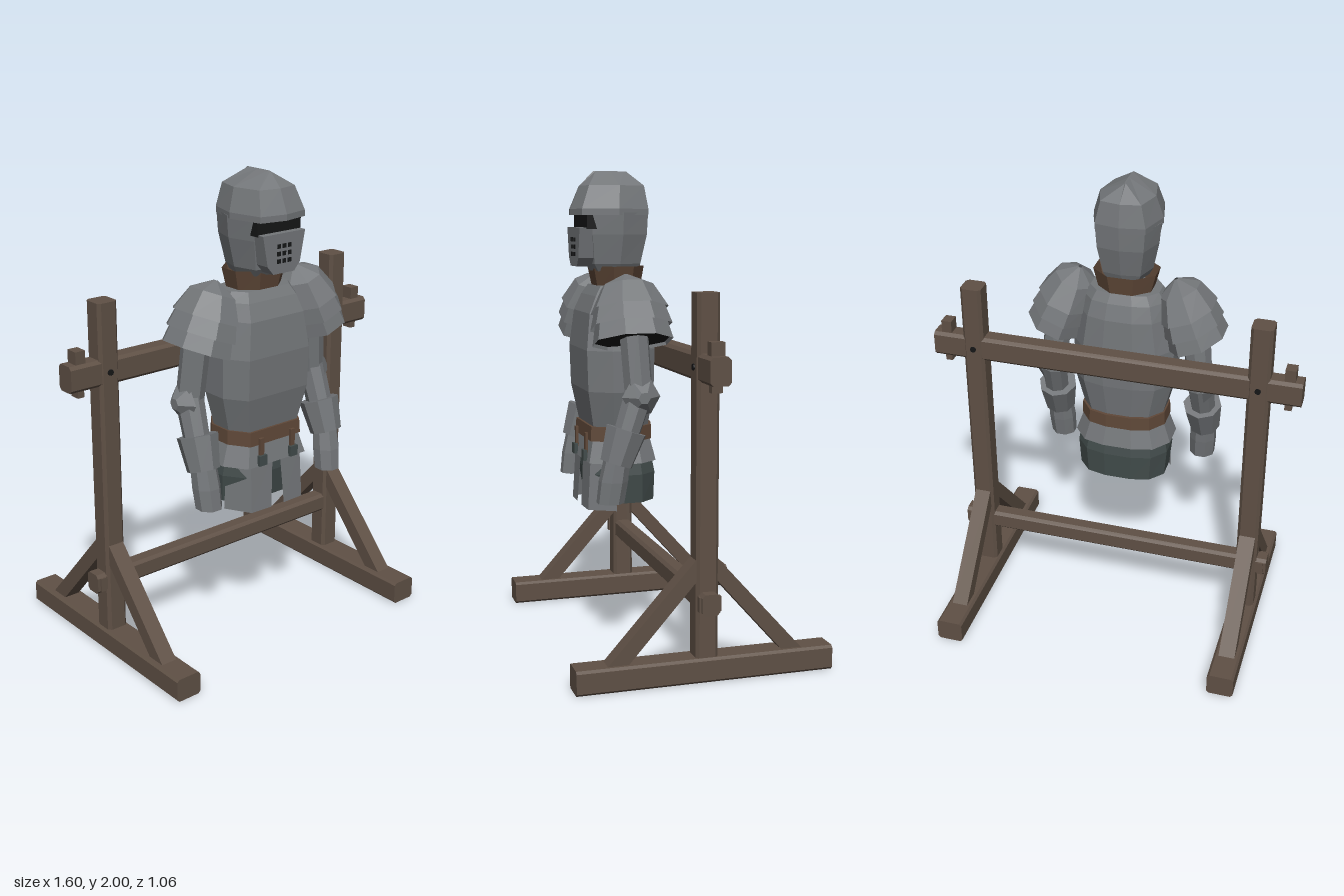
import * as THREE from 'three';

const mat = (name, color, side = THREE.FrontSide) =>
  Object.assign(new THREE.MeshStandardMaterial({ color, flatShading: true, side }), { name });

// Skins a stack of cross-sections (bottom to top, anticlockwise from above)
function skin(rings, closed = true, caps = true) {
  const pos = [];
  const tri = (...pts) => pts.forEach((p) => pos.push(...p));
  const n = rings[0].length;
  for (let i = 0; i < rings.length - 1; i++) {
    for (let j = 0; j < (closed ? n : n - 1); j++) {
      const k = (j + 1) % n;
      const [a, b, c, d] = [rings[i][j], rings[i][k], rings[i + 1][k], rings[i + 1][j]];
      tri(a, b, c);
      tri(a, c, d);
    }
  }
  if (closed && caps) {
    const lo = rings[0], hi = rings[rings.length - 1];
    for (let j = 1; j < n - 1; j++) {
      tri(lo[0], lo[j + 1], lo[j]);
      tri(hi[0], hi[j], hi[j + 1]);
    }
  }
  const g = new THREE.BufferGeometry();
  g.setAttribute('position', new THREE.Float32BufferAttribute(pos, 3));
  g.computeVertexNormals();
  return g;
}

// Half outlines as [x, z] from front to back, mirrored into full unit outlines
const outline = (half) => [
  ...half,
  ...half.filter(([x]) => x > 0).reverse().map(([x, z]) => [-x, z]),
];
const TORSO = outline([[0.72, 1], [1, 0.4], [1, -0.35], [0.72, -0.85], [0.3, -1]]);
const HEAD = outline([[0, 1], [0.78, 0.86], [1, -0.05], [0.72, -0.88], [0, -1]]);
const OCT = outline([[0.42, 1], [1, 0.4], [1, -0.4], [0.42, -1]]);

// Each row: [y, half width, back z, front z, centre x]
const loft = (shape, rows, caps = true) => skin(rows.map(([y, rx, zb, zf, cx = 0]) =>
  shape.map(([x, z]) => [cx + x * rx, y, (zf + zb) / 2 + z * (zf - zb) / 2])), true, caps);

// Timber with chamfered long edges, running along z
function timber(w, h, len, c = 0.013) {
  const x = w / 2, y = h / 2;
  const s = new THREE.Shape([[x - c, -y], [x, c - y], [x, y - c], [x - c, y],
    [c - x, y], [-x, y - c], [-x, c - y], [c - x, -y]].map((p) => new THREE.Vector2(...p)));
  return new THREE.ExtrudeGeometry(s, { depth: len, bevelEnabled: false }).translate(0, 0, -len / 2);
}

export function createModel() {
  const steel = mat('steel', 0x74777a);
  const plate = mat('steel sheet', 0x74777a, THREE.DoubleSide);
  const wood = mat('wood', 0x5f5045);
  const leather = mat('leather', 0x5f4838, THREE.DoubleSide);
  const cloth = mat('dark cloth', 0x424c4b, THREE.DoubleSide);
  const dark = mat('dark opening', 0x151617);
  const model = new THREE.Group();

  const add = (name, geo, material, x = 0, y = 0, z = 0, parent = model) => {
    const m = new THREE.Mesh(geo, material);
    m.name = name;
    m.position.set(x, y, z);
    parent.add(m);
    return m;
  };
  const box = (w, h, d) => new THREE.BoxGeometry(w, h, d);
  const limb = (name, a, b, r1, r2, sides = 8) => {
    const A = new THREE.Vector3(...a), B = new THREE.Vector3(...b);
    const m = add(name, new THREE.CylinderGeometry(r1, r2, A.distanceTo(B), sides), steel);
    m.position.copy(A).add(B).multiplyScalar(0.5);
    m.quaternion.setFromUnitVectors(new THREE.Vector3(0, 1, 0), A.sub(B).normalize());
    return m;
  };

  // Stand
  add('upperRail', timber(0.085, 0.11, 1.6).rotateY(Math.PI / 2), wood, 0, 1.245, 0);
  add('lowerRail', timber(0.075, 0.085, 1.42).rotateY(Math.PI / 2), wood, 0, 0.325, 0);
  const braceShape = new THREE.Shape([[0.41, 0.09], [0.04, 0.5], [0.04, 0.41], [0.325, 0.09]]
    .map((p) => new THREE.Vector2(...p)));
  for (const s of [-1, 1]) {
    add('foot', timber(0.115, 0.1, 1.06, 0.01), wood, s * 0.62, 0.05, 0);
    add('post', timber(0.092, 0.092, 1.45).rotateX(Math.PI / 2), wood, s * 0.62, 0.805, 0);
    add('railPeg', box(0.03, 0.14, 0.03), wood, s * 0.745, 1.23, 0);
    add('railPegHead', box(0.045, 0.055, 0.055), wood, s * 0.745, 1.325, 0);
    add('railPegTip', box(0.03, 0.04, 0.045), wood, s * 0.745, 1.18, 0);
    add('lowerRailPeg', box(0.025, 0.06, 0.09), wood, s * 0.685, 0.325, 0);
    for (const f of [-1, 1]) {
      const g = new THREE.ExtrudeGeometry(braceShape, { depth: 0.07, bevelEnabled: false })
        .translate(0, 0, -0.035).rotateY(-Math.PI / 2);
      add('brace', g, wood, s * 0.62, 0, 0).rotation.y = f > 0 ? 0 : Math.PI;
      add('dowel', new THREE.CylinderGeometry(0.013, 0.013, 0.008, 8).rotateX(Math.PI / 2),
        dark, s * 0.62, 1.245, f * 0.048);
    }
  }

  // Breastplate, belt and skirt
  add('breastplate', loft(TORSO, [
    [0.9, 0.175, 0.07, 0.31], [0.95, 0.18, 0.065, 0.32], [1.1, 0.22, 0.045, 0.347],
    [1.27, 0.222, 0.04, 0.352], [1.42, 0.195, 0.05, 0.335], [1.49, 0.175, 0.07, 0.305],
    [1.53, 0.15, 0.09, 0.28]]), steel);
  add('belt', loft(TORSO, [[0.89, 0.19, 0.05, 0.334], [0.95, 0.187, 0.052, 0.33]]), leather);
  add('waistPlate', loft(TORSO, [[0.8, 0.217, 0.035, 0.345], [0.9, 0.182, 0.06, 0.322]], false), plate);
  add('skirt', loft(TORSO, [[0.63, 0.195, 0.045, 0.3], [0.75, 0.205, 0.04, 0.32],
    [0.83, 0.19, 0.055, 0.315]], false), cloth);
  add('skirtInside', loft(TORSO, [[0.645, 0.19, 0.05, 0.295], [0.68, 0.19, 0.05, 0.295]]), dark);

  // Collar and helmet
  add('collar', loft(OCT, [[1.51, 0.11, 0.095, 0.275], [1.61, 0.135, 0.08, 0.295]], false), leather);
  add('helmetLower', loft(HEAD, [[1.59, 0.095, 0.1, 0.295], [1.62, 0.112, 0.088, 0.315],
    [1.74, 0.137, 0.062, 0.33], [1.83, 0.145, 0.058, 0.334]]), steel);
  add('helmetCrown', loft(HEAD, [[1.82, 0.148, 0.055, 0.38], [1.845, 0.148, 0.054, 0.38],
    [1.94, 0.118, 0.07, 0.34], [2, 0.004, 0.14, 0.28]]), steel);
  add('eyeSlit', box(0.226, 0.065, 0.05), dark, 0, 1.795, 0.312);
  const visor = new THREE.Shape([[-0.055, 1.61], [0.055, 1.61], [0.085, 1.645], [0.11, 1.77], [-0.11, 1.77],
    [-0.085, 1.645]].map((p) => new THREE.Vector2(...p)));
  add('visor', new THREE.ExtrudeGeometry(visor, { depth: 0.085, bevelEnabled: false }), steel, 0, 0, 0.282);
  for (let i = -1; i <= 1; i++) {
    for (let j = -1; j <= 1; j++) {
      add('breathHole', box(0.017, 0.017, 0.004), dark, i * 0.028, 1.69 + j * 0.03, 0.368);
    }
  }

  for (const s of [-1, 1]) {
    // Layered shoulder guard, tilted outward
    const shoulder = new THREE.Group();
    shoulder.name = 'shoulderGuard';
    shoulder.position.set(s * 0.312, 1.315, 0.2);
    shoulder.rotation.z = s * 0.37;
    model.add(shoulder);
    add('shoulderCap', loft(OCT, [[0.135, 0.122, -0.15, 0.15], [0.235, 0.085, -0.1, 0.1],
      [0.285, 0.008, -0.01, 0.01]], false), plate, 0, 0, 0, shoulder);
    add('shoulderLameMiddle', loft(OCT, [[0.065, 0.126, -0.158, 0.158],
      [0.16, 0.108, -0.132, 0.132]], false), plate, 0, 0, 0, shoulder);
    add('shoulderLameLower', loft(OCT, [[0, 0.125, -0.155, 0.155],
      [0.085, 0.113, -0.138, 0.138]], false), plate, 0, 0, 0, shoulder);
    add('shoulderInside', loft(OCT, [[0.012, 0.118, -0.147, 0.147],
      [0.06, 0.112, -0.137, 0.137]]), dark, 0, 0, 0, shoulder);

    // Arm and gauntlet
    limb('upperArm', [s * 0.305, 1.36, 0.195], [s * 0.333, 1.08, 0.18], 0.06, 0.058);
    limb('forearm', [s * 0.333, 1.13, 0.175], [s * 0.343, 0.88, 0.26], 0.06, 0.052);
    const elbow = add('elbowGuard', new THREE.CylinderGeometry(0.025, 0.08, 0.05, 6),
      steel, s * 0.385, 1.1, 0.18);
    elbow.rotation.z = -s * Math.PI / 2;
    limb('gauntletCuff', [s * 0.336, 0.965, 0.235], [s * 0.341, 0.83, 0.28], 0.086, 0.068);
    add('gauntletHand', loft(OCT, [[0.67, 0.052, 0.25, 0.355, s * 0.332],
      [0.76, 0.056, 0.235, 0.345, s * 0.335], [0.85, 0.052, 0.225, 0.325, s * 0.338]]), steel);

    // Thigh plate wrapping around the front corner
    const lower = [[0.035, 0.6, 0.352], [0.14, 0.6, 0.348], [0.2, 0.6, 0.24]];
    const upper = [[0.02, 0.83, 0.338], [0.135, 0.83, 0.334], [0.188, 0.83, 0.24]];
    const rows = [lower, upper].map((r) => {
      const p = r.map(([x, y, z]) => [s * x, y, z]);
      return s > 0 ? p : p.reverse();
    });
    add('thighPlate', skin(rows, false), plate);

    // Strap and buckle
    add('strap', box(0.022, 0.1, 0.012), leather, s * 0.085, 0.87, 0.341);
    add('buckle', box(0.04, 0.045, 0.016), cloth, s * 0.085, 0.825, 0.349);
  }
  return model;
}
